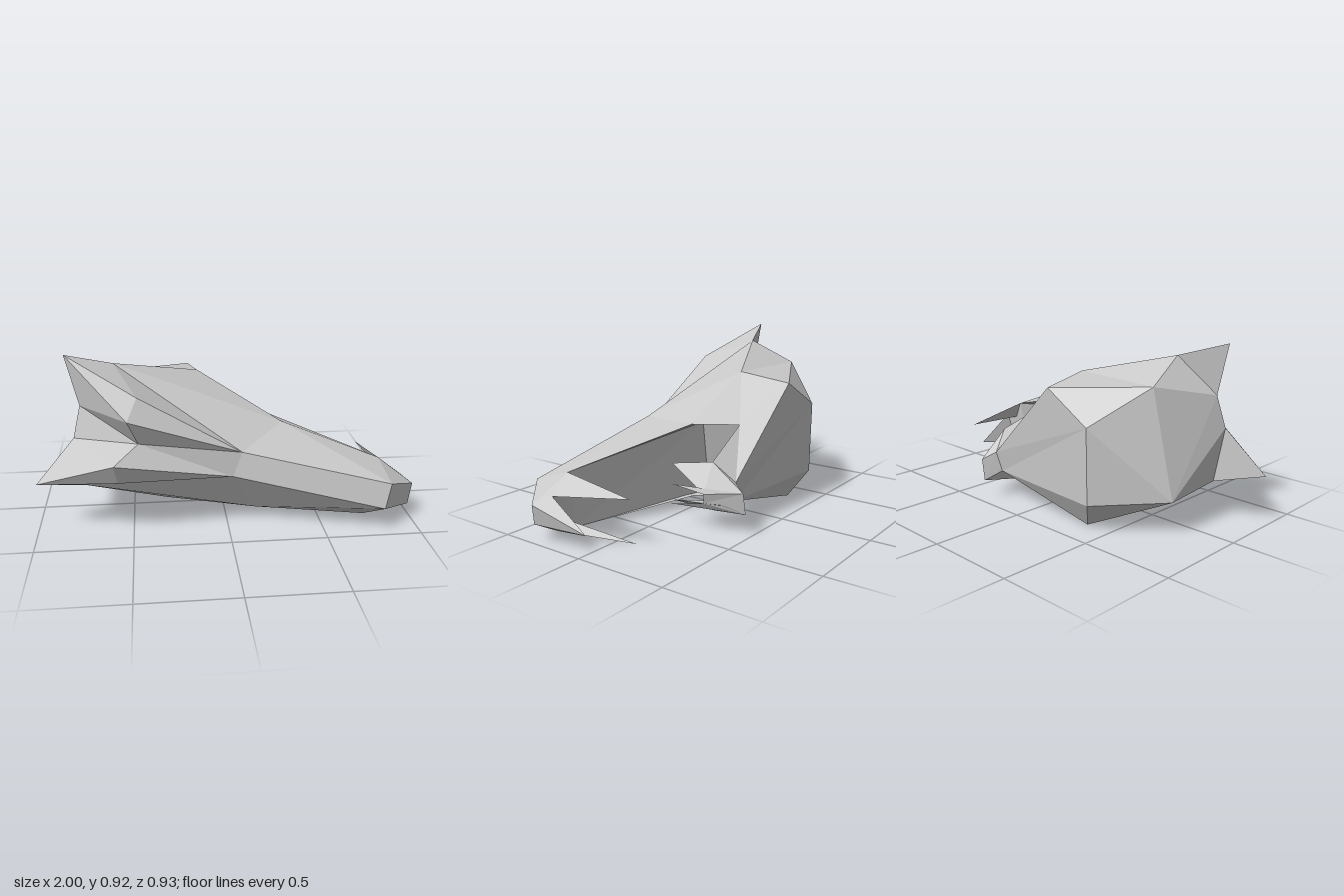
import * as THREE from 'three';

// The head is roughly mirrored across a tilted plane.
const NORMAL = new THREE.Vector3(0.245, 0.957, -0.155).normalize();
const OFFSET = 0.325;

// Left landmarks; a second triple gives the right one where it is not an exact mirror
const LANDMARKS = {
  earTip: [[-0.82, 0.925, 0.16], [-0.995, 0.267, 0.272]],
  crown: [[-0.58, 0.85, 0.07], [-0.755, 0.21, 0.17]],
  earBack: [[-0.755, 0.658, 0.17], [-0.793, 0.492, 0.2]],
  brow: [[-0.46, 0.745, 0.34]],
  earFront: [[-0.51, 0.653, 0.44], [-0.585, 0.433, 0.466]],
  bridge: [[0.07, 0.433, 0.338], [0.02, 0.307, 0.357]],
  cheek: [[-0.13, 0.74, -0.145], [-0.32, 0.02, -0.03]],
  nape: [[-0.63, 0.735, -0.175], [-0.755, 0.185, -0.165]],
  jowl: [[-0.166, 0.7, -0.425], [-0.35, 0.003, -0.33]],
  skullBack: [[-0.433, 0.545, -0.427], [-0.433, 0.15, -0.42]],
  muzzle: [[0.3, 0.53, 0.16], [0.15, 0.066, 0.23]],
  lip: [[0.82, 0.332, 0.24], [0.745, 0.015, 0.272]],
  noseTop: [[0.84, 0.266, 0.442], [0.807, 0.135, 0.465]],
  noseTip: [[1, 0.2, 0.305], [0.975, 0.09, 0.324]],
  lipFront: [[0.935, 0.241, 0.23], [0.89, 0.045, 0.256]],
  mouthTop: [[0.235, 0.505, -0.08]],
  mouthLow: [[0.1, 0.505, -0.29]],
  throatTop: [[0.1, 0.49, -0.055], [0, 0.075, -0.02]],
  throatLow: [[0, 0.5, -0.25], [-0.1, 0.08, -0.22]],
  jawRim: [[0.34, 0.362, -0.29]],
  jawSide: [[0.288, 0.26, -0.395]],
  jawFront: [[0.42, 0.214, -0.29]],
  chin: [[0.326, 0.226, -0.465], [0.305, 0.11, -0.467]],
  fangTip: [[0.805, 0.267, -0.153], [0.71, 0.003, -0.107]],
  sideTip: [[0.406, 0.337, -0.085], [0.353, 0.118, -0.045]],
  frontTip: [[0.48, 0.255, -0.14], [0.453, 0.14, -0.113]],
};
// Points lying on the mirror plane
const CENTRE = { forehead: [-0.46, 0.513, 0.37], beakTip: [0.935, 0.09, 0.012] };

function mirror(p) {
  return p.clone().addScaledVector(NORMAL, -2 * (p.dot(NORMAL) - OFFSET));
}

// A name ending in ' is the right-hand landmark
function point(name) {
  if (CENTRE[name]) return new THREE.Vector3(...CENTRE[name]);
  const [left, right] = LANDMARKS[name.replace("'", '')];
  if (!name.endsWith("'")) return new THREE.Vector3(...left);
  return right ? new THREE.Vector3(...right) : mirror(new THREE.Vector3(...left));
}

function flip(name) {
  if (CENTRE[name]) return name;
  return name.endsWith("'") ? name.slice(0, -1) : name + "'";
}

function mesh(name, polygons, material) {
  const positions = [];
  for (const poly of polygons) {
    for (let i = 1; i < poly.length - 1; i++) {
      for (const p of [poly[0], poly[i], poly[i + 1]]) positions.push(p.x, p.y, p.z);
    }
  }
  const geometry = new THREE.BufferGeometry();
  geometry.setAttribute('position', new THREE.Float32BufferAttribute(positions, 3));
  geometry.computeVertexNormals();
  const m = new THREE.Mesh(geometry, material);
  m.name = name;
  return m;
}

// Side faces are built twice; middle faces span the plane and are built once
function part(name, sides, middles, material) {
  const polygons = [];
  for (const face of sides) {
    const names = face.split(' ');
    polygons.push(names.map(point), names.map(flip).reverse().map(point));
  }
  for (const face of middles) polygons.push(face.split(' ').map(point));
  return mesh(name, polygons, material);
}

// Three-sided spike with two base corners on the lip and one further inside
function tooth(name, a, b, tip, material) {
  const [p, q, t] = [a, b, tip].map(point);
  const mid = p.clone().lerp(q, 0.5);
  const inner = mid.clone().lerp(mirror(mid), 0.22);
  return mesh(name, [[p, q, t], [q, inner, t], [inner, p, t]], material);
}

export function createModel() {
  const grey = new THREE.MeshStandardMaterial({ color: 0xc8c8c8 });
  grey.name = 'boneGrey';
  grey.flatShading = true;
  grey.side = THREE.DoubleSide;

  const group = new THREE.Group();
  group.name = 'beastHead';

  group.add(
    part('skull', [
      'crown brow bridge', 'crown bridge muzzle', 'crown muzzle cheek', 'crown cheek nape',
      'nape cheek jowl', 'nape jowl skullBack', 'earBack crown nape',
      'cheek mouthTop mouthLow', 'cheek muzzle mouthTop', 'cheek mouthLow jowl',
      'brow earFront bridge', 'earFront forehead bridge', 'earBack forehead earFront',
    ], [
      "earBack earBack' forehead", "forehead bridge' bridge", "earBack nape nape' earBack'",
      "skullBack skullBack' nape' nape",
    ], grey),

    part('ears', ['earTip brow crown', 'earTip earFront brow', 'earTip earBack earFront',
      'earTip crown earBack'], [], grey),

    // Hollow at the back of the open mouth
    part('throat', ['mouthLow mouthTop throatTop throatLow'],
      ["throatLow throatTop throatTop' throatLow'"], grey),

    // Snout with a palate that deepens towards the throat
    part('upperJaw', [
      'muzzle lip mouthTop', 'bridge noseTop muzzle', 'muzzle noseTop lip',
      'lip noseTop noseTip', 'lip noseTip lipFront', 'mouthTop lip throatTop',
    ], [
      "bridge bridge' noseTop' noseTop", "noseTop noseTop' noseTip' noseTip",
      "throatTop lip lip' throatTop'", "lip lipFront lipFront' lip'",
    ], grey),

    part('beakTooth', ['lipFront noseTip beakTip'],
      ["noseTip noseTip' beakTip", "lipFront' lipFront beakTip"], grey),

    part('lowerJaw', [
      'jowl mouthLow jawSide', 'mouthLow jawRim jawSide', 'jawSide jawRim chin',
      'jawRim jawFront chin', 'jowl jawSide skullBack', 'jawRim mouthLow throatLow',
    ], [
      "skullBack jawSide jawSide' skullBack'", "jawSide chin chin' jawSide'",
      "chin jawFront jawFront' chin'", "jawFront jawRim jawRim' jawFront'",
      "jawRim throatLow throatLow' jawRim'",
    ], grey),
  );

  // Paired teeth
  for (const s of ['', "'"]) {
    const side = s ? 'Right' : 'Left';
    group.add(
      tooth('upperFang' + side, 'lip' + s, 'lipFront' + s, 'fangTip' + s, grey),
      tooth('lowerSideTooth' + side, 'jawRim' + s, 'jawFront' + s, 'sideTip' + s, grey),
      tooth('lowerFrontTooth' + side, 'jawFront' + s, 'chin' + s, 'frontTip' + s, grey),
    );
  }
  return group;
}
